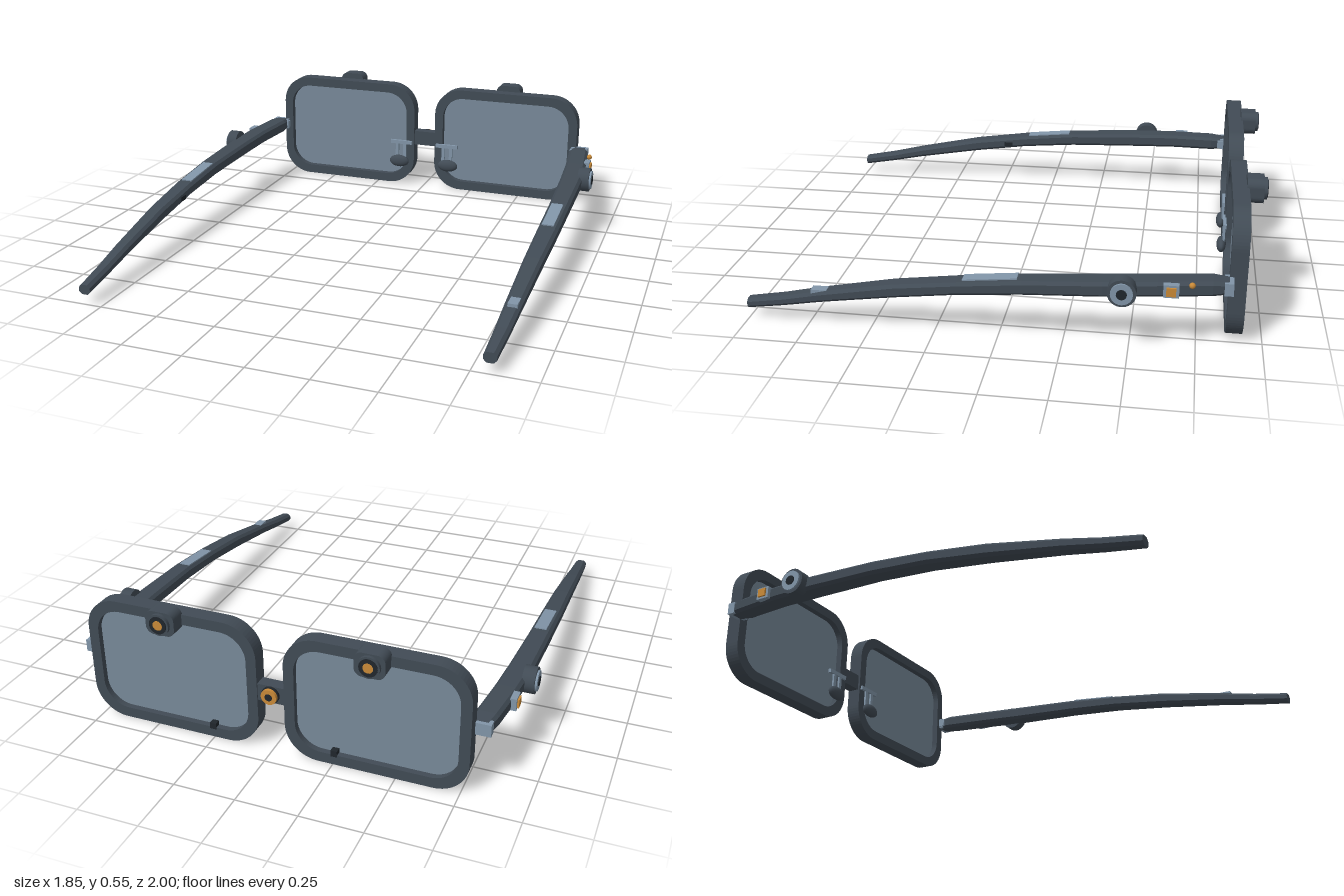
import * as THREE from 'three';

const paint = (name, color) => {
  const m = new THREE.MeshStandardMaterial({ color });
  m.name = name;
  return m;
};

// Rounded rectangle outline centred on the origin
function roundRect(w, h, r, Type = THREE.Shape) {
  const s = new Type(), x = w / 2, y = h / 2;
  s.moveTo(-x + r, -y);
  s.lineTo(x - r, -y);
  s.absarc(x - r, -y + r, r, -Math.PI / 2, 0);
  s.lineTo(x, y - r);
  s.absarc(x - r, y - r, r, 0, Math.PI / 2);
  s.lineTo(-x + r, y);
  s.absarc(-x + r, y - r, r, Math.PI / 2, Math.PI);
  s.lineTo(-x, -y + r);
  s.absarc(-x + r, -y + r, r, Math.PI, Math.PI * 1.5);
  return s;
}

const extrude = (shape, depth) =>
  new THREE.ExtrudeGeometry(shape, { depth, bevelEnabled: false, curveSegments: 8 });

// Temple stations from hinge to tip: z, inner x, outer x, bottom y, top y
const STATIONS = [
  [-0.86, 0.765, 0.835, 0.24, 0.29],
  [-0.8, 0.758, 0.848, 0.235, 0.295],
  [-0.6, 0.778, 0.871, 0.23, 0.29],
  [-0.4, 0.789, 0.884, 0.22, 0.28],
  [-0.1, 0.799, 0.886, 0.206, 0.263],
  [0.15, 0.8, 0.884, 0.185, 0.238],
  [0.4, 0.799, 0.875, 0.15, 0.205],
  [0.7, 0.797, 0.862, 0.1, 0.146],
  [0.85, 0.796, 0.854, 0.07, 0.112],
  [1.0, 0.795, 0.845, 0.044, 0.085],
];

// Chamfered bar lofted through the stations
function templeGeometry(side) {
  const c = 0.012, rings = STATIONS.map(([z, a, b, lo, hi]) => {
    const ring = [
      [a + c, lo], [b - c, lo], [b, lo + c], [b, hi - c],
      [b - c, hi], [a + c, hi], [a, hi - c], [a, lo + c],
    ].map(([x, y]) => [x * side, y, z]);
    return side < 0 ? ring.reverse() : ring;
  });
  const pos = [], tri = (...p) => p.forEach((v) => pos.push(...v));
  for (let i = 0; i < rings.length - 1; i++) {
    const p = rings[i], q = rings[i + 1];
    for (let j = 0; j < 8; j++) {
      const k = (j + 1) % 8;
      tri(p[j], p[k], q[k]);
      tri(p[j], q[k], q[j]);
    }
  }
  const first = rings[0], last = rings[rings.length - 1];
  for (let j = 1; j < 7; j++) {
    tri(first[0], first[j + 1], first[j]);
    tri(last[0], last[j], last[j + 1]);
  }
  const g = new THREE.BufferGeometry();
  g.setAttribute('position', new THREE.Float32BufferAttribute(pos, 3));
  g.computeVertexNormals();
  return g;
}

export function createModel() {
  const frame = paint('frame grey', 0x414b55);
  const glass = paint('lens blue grey', 0x788999);
  const trim = paint('light trim', 0x8195a8);
  const amber = paint('amber', 0xc98a38);
  const dark = paint('near black', 0x20262c);

  const model = new THREE.Group();
  model.name = 'glasses';
  const add = (name, geo, mat, x = 0, y = 0, z = 0) => {
    const m = new THREE.Mesh(geo, mat);
    m.name = name;
    m.position.set(x, y, z);
    model.add(m);
    return m;
  };
  const box = (name, mat, w, h, d, x, y, z) =>
    add(name, new THREE.BoxGeometry(w, h, d), mat, x, y, z);
  // Discs facing along z or x
  const discZ = (name, mat, r, d, x, y, z, n = 20) =>
    add(name, new THREE.CylinderGeometry(r, r, d, n).rotateX(Math.PI / 2), mat, x, y, z);
  const discX = (name, mat, r, d, x, y, z, n = 24) =>
    add(name, new THREE.CylinderGeometry(r, r, d, n).rotateZ(Math.PI / 2), mat, x, y, z);

  // Bridge with its sensor button
  box('bridge', frame, 0.13, 0.072, 0.05, 0, 0.252, -0.895);
  discZ('bridgeSensorBase', dark, 0.036, 0.012, 0, 0.252, -0.924);
  discZ('bridgeSensor', amber, 0.032, 0.014, 0, 0.252, -0.936);
  discZ('bridgeSensorCentre', dark, 0.015, 0.004, 0, 0.252, -0.943);

  for (const s of [1, -1]) {
    // Rim and lens
    const rim = roundRect(0.725, 0.525, 0.135);
    rim.holes.push(roundRect(0.641, 0.438, 0.105, THREE.Path));
    add('rim', extrude(rim, 0.065), frame, s * 0.418, 0.2635, -0.925);
    add('lens', extrude(roundRect(0.647, 0.444, 0.108), 0.012), glass, s * 0.418, 0.2635, -0.901);
    box('rimSensor', dark, 0.026, 0.026, 0.03, s * 0.255, 0.05, -0.912);

    // Camera on the upper rim
    const cx = s * 0.418;
    add('cameraBody', extrude(roundRect(0.12, 0.098, 0.032), 0.066), frame, cx, 0.505, -0.983);
    discZ('cameraRing', frame, 0.044, 0.014, cx, 0.505, -0.989);
    discZ('cameraFace', dark, 0.036, 0.006, cx, 0.505, -0.996);
    discZ('cameraLens', amber, 0.02, 0.004, cx, 0.505, -0.998);

    // Nose pad hung from a bracket
    box('noseBracket', trim, 0.115, 0.018, 0.014, s * 0.122, 0.226, -0.856);
    for (const x of [0.104, 0.144])
      box('noseBracketLeg', trim, 0.016, 0.09, 0.01, s * x, 0.18, -0.855);
    const pad = add('nosePad', new THREE.SphereGeometry(1, 20, 12), frame, s * 0.131, 0.126, -0.847);
    pad.scale.set(0.052, 0.031, 0.02);

    // Hinge and temple
    box('hinge', trim, 0.08, 0.05, 0.034, s * 0.8, 0.265, -0.859);
    box('hingePin', trim, 0.02, 0.035, 0.03, s * 0.765, 0.265, -0.845);
    add('temple', templeGeometry(s), frame);
    const plate = box('templeTopPlate', trim, 0.05, 0.009, 0.21, s * 0.838, 0.251, 0.025);
    plate.rotation.x = 0.1;

    // Round dial on the outside of the temple
    discX('dial', frame, 0.054, 0.05, s * 0.888, 0.258, -0.472);
    discX('dialFace', trim, 0.042, 0.01, s * 0.916, 0.258, -0.472);
    discX('dialCentre', dark, 0.02, 0.004, s * 0.922, 0.258, -0.472);

    // Square button
    box('buttonBezel', trim, 0.025, 0.05, 0.058, s * 0.87, 0.264, -0.65);
    box('button', amber, 0.012, 0.034, 0.036, s * 0.884, 0.264, -0.65);
  }

  // Status light and port cover on the left temple, small port on the right
  add('statusLight', new THREE.SphereGeometry(0.012, 12, 8), amber, 0.868, 0.288, -0.725);
  box('portCover', trim, 0.038, 0.032, 0.1, 0.833, 0.136, 0.682);
  box('sidePort', dark, 0.01, 0.02, 0.04, -0.802, 0.195, 0.235);

  return model;
}
